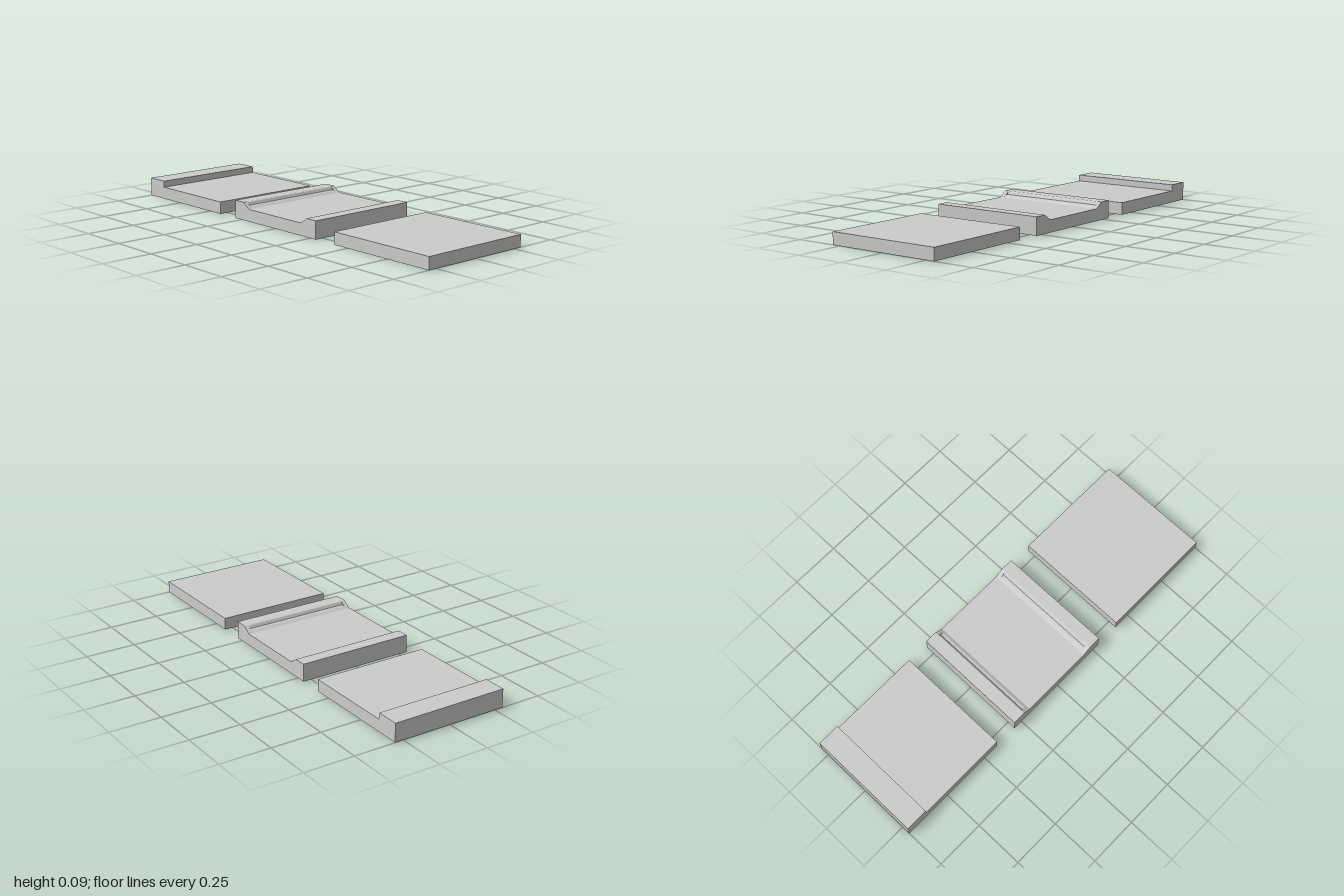
import * as THREE from 'three';

const HALF_DEPTH = 0.293;
const GROOVE_HALF = 0.272;
const BASE = 0.06;

// Extrude an x-y cross-section from z0 to z1
function slab(name, points, z0, z1, material) {
  const shape = new THREE.Shape(points.map(([x, y]) => new THREE.Vector2(x, y)));
  const geometry = new THREE.ExtrudeGeometry(shape, { depth: z1 - z0, bevelEnabled: false });
  geometry.translate(0, 0, z0);
  const mesh = new THREE.Mesh(geometry, material);
  mesh.name = name;
  return mesh;
}

// Symmetric tile section with a raised kerb and sloped shoulder on both sides
function kerbSection(centre, grooved) {
  const half = [[0.2925, 0], [0.2925, 0.088], [0.229, 0.088]];
  if (grooved) half.push([0.225, 0.0855], [0.217, 0.072], [0.203, 0.0695]);
  half.push([0.188, BASE]);
  const mirrored = half.map(([x, y]) => [-x, y]).reverse();
  return [...half, ...mirrored].map(([x, y]) => [x + centre, y]);
}

export function createModel() {
  const model = new THREE.Group();
  model.name = 'floorTiles';
  const material = new THREE.MeshStandardMaterial({ color: 0xcccccc, flatShading: true });

  // Tile with one raised edge
  model.add(slab('singleKerbTile', [
    [-1, 0], [-0.415, 0], [-0.415, BASE], [-0.885, BASE], [-0.885, 0.092], [-1, 0.092],
  ], -HALF_DEPTH, HALF_DEPTH, material));

  // Tile with two sloped kerbs, grooved between solid ends
  const channel = new THREE.Group();
  channel.name = 'doubleKerbTile';
  const centre = -0.0045;
  channel.add(
    slab('groovedMiddle', kerbSection(centre, true), -GROOVE_HALF, GROOVE_HALF, material),
    slab('frontEnd', kerbSection(centre, false), GROOVE_HALF, HALF_DEPTH, material),
    slab('backEnd', kerbSection(centre, false), -HALF_DEPTH, -GROOVE_HALF, material),
  );
  model.add(channel);

  // Plain flat tile
  const plain = new THREE.Mesh(new THREE.BoxGeometry(0.587, BASE, HALF_DEPTH * 2), material);
  plain.name = 'plainTile';
  plain.position.set(0.7065, BASE / 2, 0);
  model.add(plain);

  return model;
}
